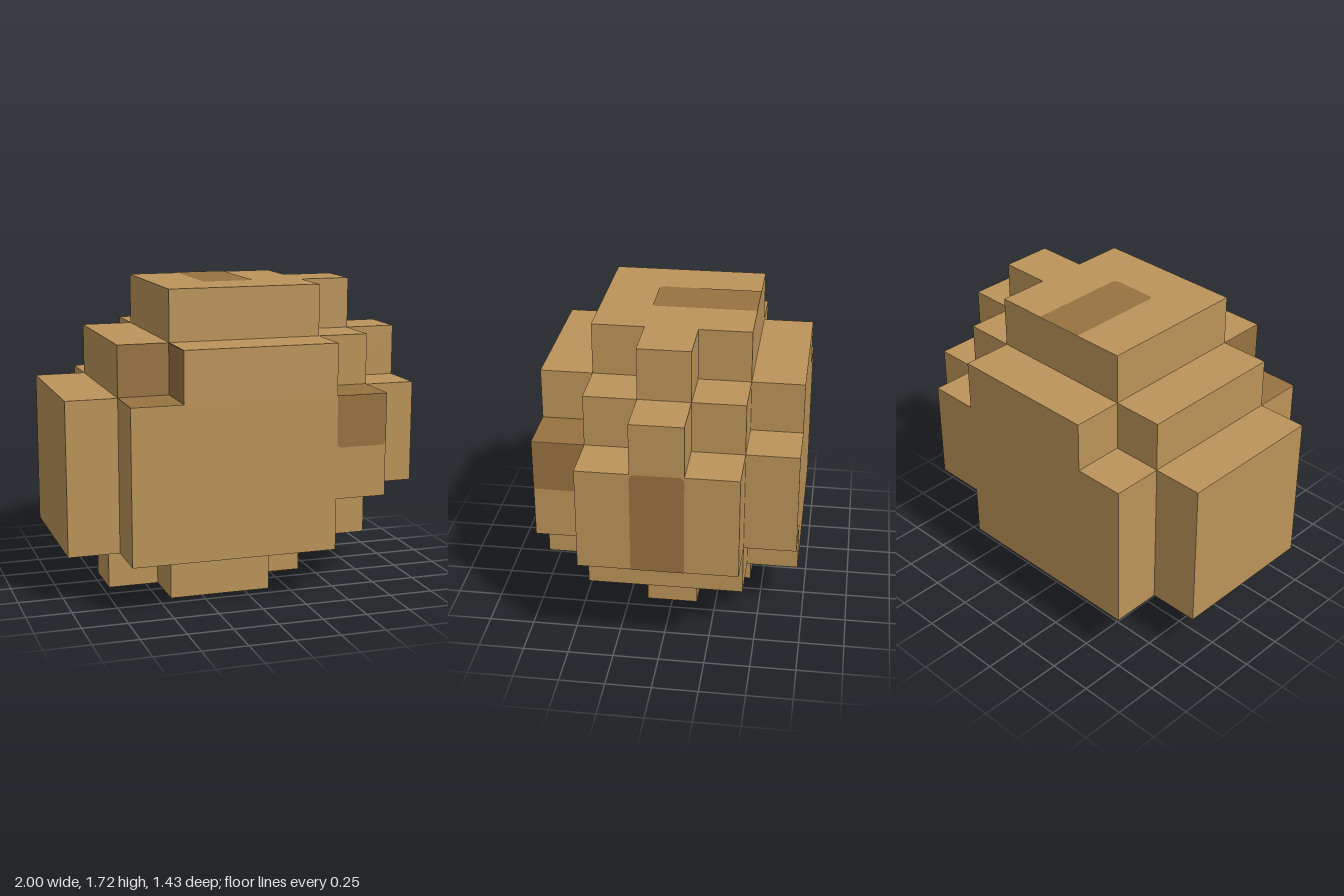
import * as THREE from 'three';

const U = 2 / 7; // edge length of one block
const Q = Math.PI / 2;

const skin = new THREE.MeshStandardMaterial({ color: 0xbc945a });
skin.name = 'tan skin';
const spot = new THREE.MeshStandardMaterial({ color: 0x987341 });
spot.name = 'brown spot';

// One-block-thick slab from an outline given in block units
function slab(name, outline, rotation, position) {
  const shape = new THREE.Shape(outline.map(([a, b]) => new THREE.Vector2(a * U, b * U)));
  const geo = new THREE.ExtrudeGeometry(shape, { depth: U, bevelEnabled: false });
  const mesh = new THREE.Mesh(geo, skin);
  mesh.name = name;
  mesh.rotation.set(...rotation);
  mesh.position.set(...position.map((v) => v * U));
  return mesh;
}

// Solid block, sizes and centre in block units
function block(name, size, centre) {
  const mesh = new THREE.Mesh(new THREE.BoxGeometry(...size.map((v) => v * U)), skin);
  mesh.name = name;
  mesh.position.set(...centre.map((v) => v * U));
  return mesh;
}

// Thin painted panel whose two lower corners are rounded by r
function panel(name, w, h, r, rotation, centre) {
  const x = (w * U) / 2, y = (h * U) / 2;
  const s = new THREE.Shape();
  s.moveTo(-x, y);
  s.lineTo(-x, -y + r);
  if (r) s.quadraticCurveTo(-x, -y, -x + r, -y);
  s.lineTo(x - r, -y);
  if (r) s.quadraticCurveTo(x, -y, x, -y + r);
  s.lineTo(x, y);
  const mesh = new THREE.Mesh(new THREE.ShapeGeometry(s, 5), spot);
  mesh.name = name;
  mesh.rotation.set(...rotation);
  mesh.position.set(...centre.map((v) => v * U));
  mesh.translateZ(0.003);
  return mesh;
}

export function createModel() {
  const model = new THREE.Group();
  model.name = 'blockyTuber';

  // Core and the plain bulge on the right
  model.add(block('core', [5, 4, 3], [0, 3, 0]));
  model.add(block('rightBulge', [1, 3, 3], [-3, 2.5, 0]));

  // Front and back bulges share one stepped outline
  const face = [
    [-2.5, 1], [1.5, 1], [1.5, 2], [2.5, 2], [2.5, 4],
    [1.5, 4], [1.5, 5], [-1.5, 5], [-1.5, 4], [-2.5, 4],
  ];
  model.add(slab('frontBulge', face, [0, 0, 0], [0, 0, 1.5]));
  model.add(slab('backBulge', face, [0, 0, 0], [0, 0, -2.5]));

  // Left bulge with a raised middle block
  const side = [
    [-1.5, 2], [1.5, 2], [1.5, 4], [0.5, 4],
    [0.5, 5], [-0.5, 5], [-0.5, 4], [-1.5, 4],
  ];
  model.add(slab('leftBulge', side, [0, Q, 0], [2.5, 0, 0]));

  // Top cap with a tab to the left
  const cap = [
    [-1.5, -1.5], [1.5, -1.5], [1.5, -0.5], [2.5, -0.5],
    [2.5, 0.5], [1.5, 0.5], [1.5, 1.5], [-1.5, 1.5],
  ];
  model.add(slab('topCap', cap, [-Q, 0, 0], [0, 5, 0]));

  // Cross-shaped foot
  const cross = [
    [-1.5, -1.5], [0.5, -1.5], [0.5, -0.5], [1.5, -0.5], [1.5, 0.5], [0.5, 0.5],
    [0.5, 1.5], [-1.5, 1.5], [-1.5, 0.5], [-2.5, 0.5], [-2.5, -0.5], [-1.5, -0.5],
  ];
  model.add(slab('foot', cross, [-Q, 0, 0], [0, 0, 0]));

  // Long spots on the top and the left side
  const r = 0.03;
  model.add(panel('topSpot', 1, 2, r, [-Q, 0, 0], [0, 6, -0.5]));
  model.add(panel('leftSpot', 1, 2, r, [0, Q, 2 * Q], [3.5, 3, 0]));

  // Spot wrapped around the front left corner
  model.add(panel('cornerSpotFront', 1, 1, r, [0, 0, 0], [2, 3.5, 2.5]));
  model.add(panel('cornerSpotTop', 1, 1, 0, [-Q, 0, 0], [2, 4, 2]));
  model.add(panel('cornerSpotSide', 1, 1, 0, [0, Q, 0], [2.5, 3.5, 2]));

  // Spot filling the front right notch
  model.add(panel('notchSpotBack', 1, 1, 0, [0, 0, 0], [-2, 4.5, 1.5]));
  model.add(panel('notchSpotFloor', 1, 1, 0, [-Q, 0, 0], [-2, 4, 2]));
  model.add(panel('notchSpotSide', 1, 1, 0, [0, -Q, 0], [-1.5, 4.5, 2]));

  return model;
}
